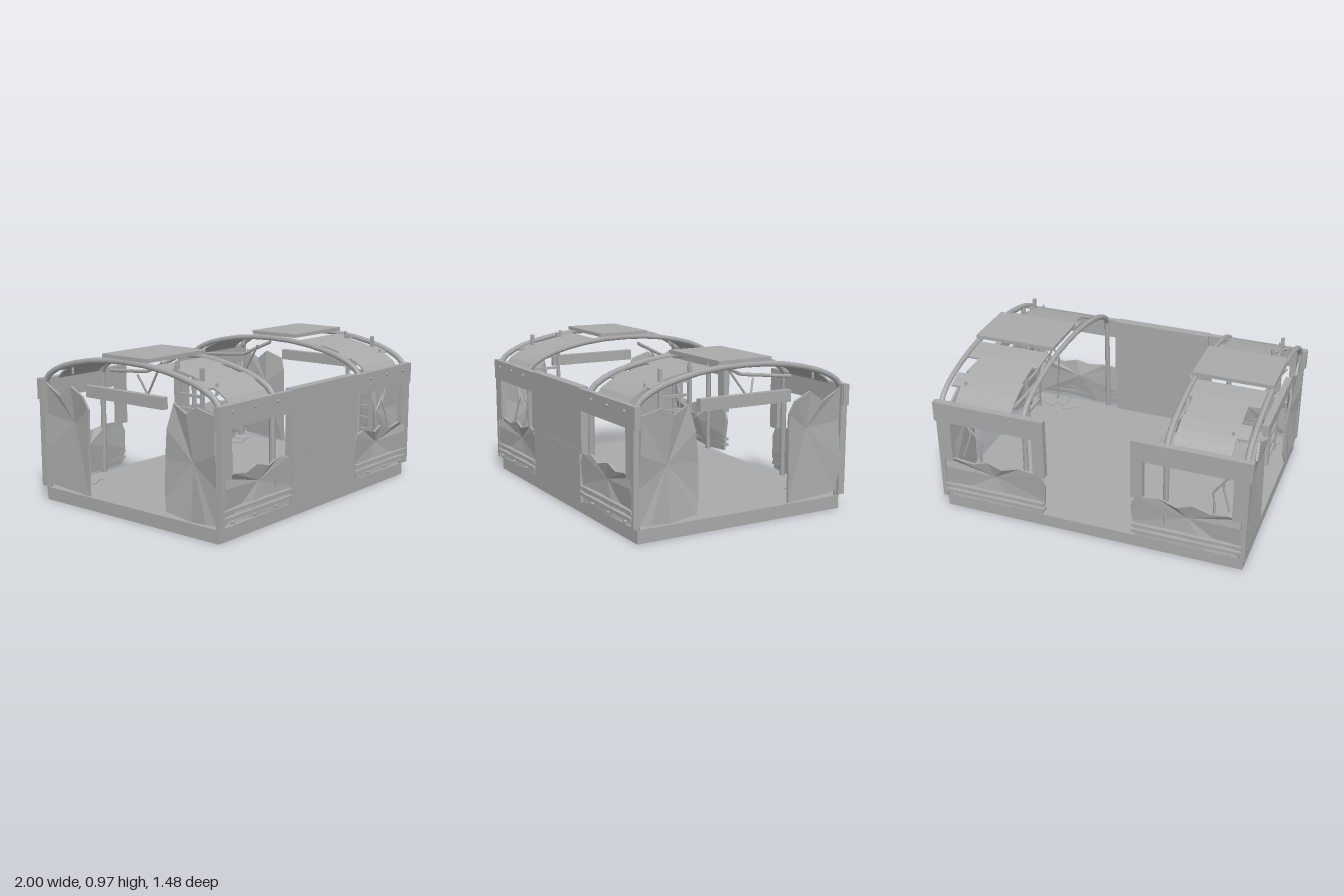
import * as THREE from 'three';

const grey = new THREE.MeshStandardMaterial({ color: 0xaaaaaa, side: THREE.DoubleSide });
grey.name = 'weathered grey';

function add(parent, geo, name, x = 0, y = 0, z = 0) {
  const m = new THREE.Mesh(geo, grey);
  m.name = name;
  m.position.set(x, y, z);
  parent.add(m);
  return m;
}

// Box given by its limits on each axis
function block(parent, name, [x0, x1], [y0, y1], [z0, z1]) {
  return add(parent, new THREE.BoxGeometry(Math.abs(x1 - x0), y1 - y0, Math.abs(z1 - z0)), name,
    (x0 + x1) / 2, (y0 + y1) / 2, (z0 + z1) / 2);
}

// Bent pipe with straight runs
function pipe(parent, name, pts, r) {
  const path = new THREE.CurvePath();
  const v = pts.map(p => new THREE.Vector3(...p));
  for (let i = 1; i < v.length; i++) path.add(new THREE.LineCurve3(v[i - 1], v[i]));
  return add(parent, new THREE.TubeGeometry(path, v.length * 8, r, 6, false), name);
}

// Dented slab: a fan around a pushed-in centre, with thickness and a wavy rim
function dentedSlab(parent, name, outline, centre, axis, w, thick, dent) {
  const pos = [];
  const put = (u, v, d) => pos.push(...(axis === 'x' ? [w + d, v, u] : [u, v, w + d]));
  const wave = i => Math.sin(i * 2.4) * dent * 0.35;
  const n = outline.length;
  for (let i = 0; i < n; i++) {
    const j = (i + 1) % n, a = outline[i], b = outline[j];
    for (const t of [0, thick]) {
      put(a[0], a[1], wave(i) + t);
      put(b[0], b[1], wave(j) + t);
      put(centre[0], centre[1], dent + t);
    }
    put(...a, wave(i)); put(...b, wave(j)); put(...b, wave(j) + thick);
    put(...a, wave(i)); put(...b, wave(j) + thick); put(...a, wave(i) + thick);
  }
  const g = new THREE.BufferGeometry();
  g.setAttribute('position', new THREE.Float32BufferAttribute(pos, 3));
  g.computeVertexNormals();
  return add(parent, g, name);
}

// Half profile of the roof: distance from the centre line, height
const ROOF = [[0, 0.935], [0.15, 0.931], [0.3, 0.915], [0.42, 0.892], [0.52, 0.866], [0.6, 0.835], [0.66, 0.8], [0.69, 0.765]];
function roofY(z) {
  const a = Math.abs(z);
  for (let i = 1; i < ROOF.length; i++) {
    if (a <= ROOF[i][0]) {
      const [p, q] = [ROOF[i - 1], ROOF[i]];
      return p[1] + (q[1] - p[1]) * (a - p[0]) / (q[0] - p[0]);
    }
  }
  return 0.765;
}

// Curved roof sheet between two z limits
function roofSheet(parent, x0, x1, z0, z1) {
  const s = new THREE.Shape(), n = 4, th = 0.012, top = [], low = [];
  for (let i = 0; i <= n; i++) {
    const z = z0 + (z1 - z0) * i / n;
    top.push(new THREE.Vector2(z, roofY(z)));
    low.unshift(new THREE.Vector2(z, roofY(z) - th));
  }
  s.setFromPoints([...top, ...low]);
  const g = new THREE.ExtrudeGeometry(s, { depth: x1 - x0, bevelEnabled: false });
  g.rotateY(-Math.PI / 2);
  add(parent, g, 'roofSheet', x1, 0, 0);
}

function arch(parent, x) {
  const half = ROOF.map(([z, y]) => [x, y, z]);
  const back = half.slice(1).map(([a, y, z]) => [a, y, -z]);
  pipe(parent, 'roofArch', [[x, 0.08, -0.695], ...back.reverse(), ...half, [x, 0.08, 0.695]], 0.018);
}

// Side wall with window, dented lower sheet, ribs and rivets
function sideWall(parent, s, front) {
  const f = front ? 1 : -1, inner = front ? 0.33 : 0.275;
  const z = front ? [0.695, 0.73] : [-0.73, -0.685];
  const wall = new THREE.Group();
  wall.name = front ? 'frontWall' : 'backWall';
  parent.add(wall);
  block(wall, 'windowHeader', [s * inner, s * 0.99], [0.64, 0.77], z);
  block(wall, 'outerColumn', [s * 0.895, s * 0.985], [0.36, 0.64], z);
  block(wall, 'cornerColumn', [s * 0.955, s * 0.985], [0.09, 0.36], z);
  block(wall, 'innerColumn', [s * inner, s * 0.35], [0.38, 0.64], z);
  const e = inner;
  const outline = [[e + 0.03, 0.1], [0.5, 0.09], [0.75, 0.105], [0.94, 0.1], [0.965, 0.22], [0.945, 0.31], [0.95, 0.37],
    [0.87, 0.385], [0.76, 0.365], [0.66, 0.395], [0.56, 0.37], [0.45, 0.395], [e + 0.03, 0.385], [e, 0.32], [e + 0.01, 0.2]];
  dentedSlab(wall, 'dentedLowerSheet', outline.map(([u, v]) => [s * u, v]), [s * 0.62, 0.29], 'z', f * 0.708, f * 0.016, -f * 0.025);
  for (const y of [0.14, 0.18]) block(wall, 'rib', [s * (e + 0.01), s * 0.965], [y - 0.01, y + 0.01], [f * 0.7, f * 0.738]);
  for (const x of [0.49, 0.69, 0.89]) for (const y of [0.115, 0.73]) {
    const g = new THREE.CylinderGeometry(0.01, 0.01, 0.02, 8).rotateX(Math.PI / 2);
    add(wall, g, 'rivet', s * x, y, f * 0.732);
  }
}

// End wall: two dented sheets and a lintel over the doorway
function endWall(parent, s) {
  const a = [[0.69, 0.1], [0.7, 0.3], [0.69, 0.5], [0.67, 0.71], [0.55, 0.745], [0.48, 0.7], [0.375, 0.745], [0.34, 0.6],
    [0.315, 0.42], [0.31, 0.2], [0.33, 0.12], [0.5, 0.087], [0.62, 0.1]];
  const b = [[-0.31, 0.09], [-0.31, 0.62], [-0.34, 0.7], [-0.46, 0.745], [-0.55, 0.68], [-0.66, 0.74], [-0.675, 0.55],
    [-0.7, 0.3], [-0.66, 0.11], [-0.5, 0.1]];
  dentedSlab(parent, 'dentedEndSheet', a, [0.5, 0.42], 'x', s * 0.965, s * 0.015, -s * 0.03);
  dentedSlab(parent, 'dentedEndSheet', b, [-0.45, 0.52], 'x', s * 0.965, s * 0.015, -s * 0.03);
  block(parent, 'doorLintel', [s * 0.945, s * 0.985], [0.7, 0.77], [-0.31, 0.31]);
  for (const z of [-0.71, 0.71]) block(parent, 'cornerPlate', [s * 0.975, s * 1.0], [0.64, 0.77], [z - 0.02, z + 0.02]);
}

function ladder(parent, s) {
  const g = new THREE.Group();
  g.name = 'ladder';
  parent.add(g);
  for (const z of [0.31, 0.5]) block(g, 'ladderRail', [s * 0.87 - 0.01, s * 0.87 + 0.01], [0.09, 0.94], [z - 0.01, z + 0.01]);
  for (let y = 0.14; y < 0.9; y += 0.08)
    block(g, 'ladderRung', [s * 0.87 - 0.008, s * 0.87 + 0.008], [y - 0.008, y + 0.008], [0.31, 0.5]);
}

// Roof bands: inner x, outer x, z start, z end
const BANDS = [
  [0.49, 0.95, -0.35, -0.18], [0.53, 0.865, -0.5, -0.35], [0.52, 0.93, -0.6, -0.5], [0.52, 0.865, -0.69, -0.6],
  [0.48, 0.95, 0.18, 0.3], [0.48, 0.87, 0.3, 0.35], [0.53, 0.87, 0.35, 0.49], [0.48, 0.92, 0.49, 0.58], [0.52, 0.87, 0.58, 0.69]];

function carriageEnd(s) {
  const g = new THREE.Group();
  g.name = s > 0 ? 'leftSection' : 'rightSection';
  sideWall(g, s, true);
  sideWall(g, s, false);
  endWall(g, s);
  ladder(g, s);
  arch(g, s * 0.955);
  const xi = s > 0 ? 0.41 : -0.485;
  arch(g, xi);
  const shift = s > 0 ? -0.03 : 0;
  for (const [i, o, z0, z1] of BANDS) {
    const x = [s * (i + shift), s * o].sort((p, q) => p - q);
    roofSheet(g, x[0], x[1], z0, z1);
  }
  const roof = s > 0 ? [0.435, 0.965] : [-0.97, -0.47];
  block(g, 'roofCap', roof, [0.947, 0.97], [-0.18, 0.18]);

  // Broken pipes under the roof
  const px = s > 0 ? 0.49 : -0.47;
  pipe(g, 'fallenPipe', [[px + 0.03, 0.89, -0.09], [px - 0.01, 0.79, -0.3], [px + 0.03, 0.755, -0.66]], 0.012);
  pipe(g, 'brokenRod', [[px, 0.86, -0.18], [px + 0.04, 0.63, -0.34], [px, 0.76, -0.39]], 0.007);
  // Bent rods inside the window corners
  for (const z of [-0.63, 0.63]) {
    pipe(g, 'bentRod', [[s * 0.89, 0.65, z], [s * 0.75, 0.45, z * 0.97], [s * 0.78, 0.1, z]], 0.007);
    pipe(g, 'bentRod', [[s * 0.86, 0.66, z], [s * 0.81, 0.52, z], [s * 0.86, 0.36, z * 1.03]], 0.007);
    add(g, new THREE.CylinderGeometry(0.008, 0.008, 0.07, 8), 'roofStub', s * 0.84, roofY(z) + 0.01, z * 0.92);
  }
  add(g, new THREE.CylinderGeometry(0.01, 0.01, 0.06, 8), 'roofStub', s * 0.85, 0.93, 0.3);
  // Loose plates on the floor
  for (const z of [-0.6, 0.58]) for (let i = 0; i < 3; i++) {
    const p = add(g, new THREE.BoxGeometry(0.12, 0.006, 0.08), 'loosePlate', s * (0.66 + i * 0.08), 0.085 + i * 0.004, z + (i % 2) * 0.05);
    p.rotation.y = i * 1.1 + z;
  }
  return g;
}

export function createModel() {
  const model = new THREE.Group();
  model.name = 'wreckedCarriage';
  block(model, 'floorSlab', [-0.97, 0.97], [0, 0.08], [-0.7, 0.7]);
  // Closed centre of the front side
  block(model, 'lowerDoorPanel', [-0.33, 0.33], [0.08, 0.4], [0.67, 0.732]);
  block(model, 'upperDoorPanel', [-0.33, 0.33], [0.4, 0.775], [0.67, 0.73]);
  for (const s of [-1, 1]) model.add(carriageEnd(s));
  return model;
}
